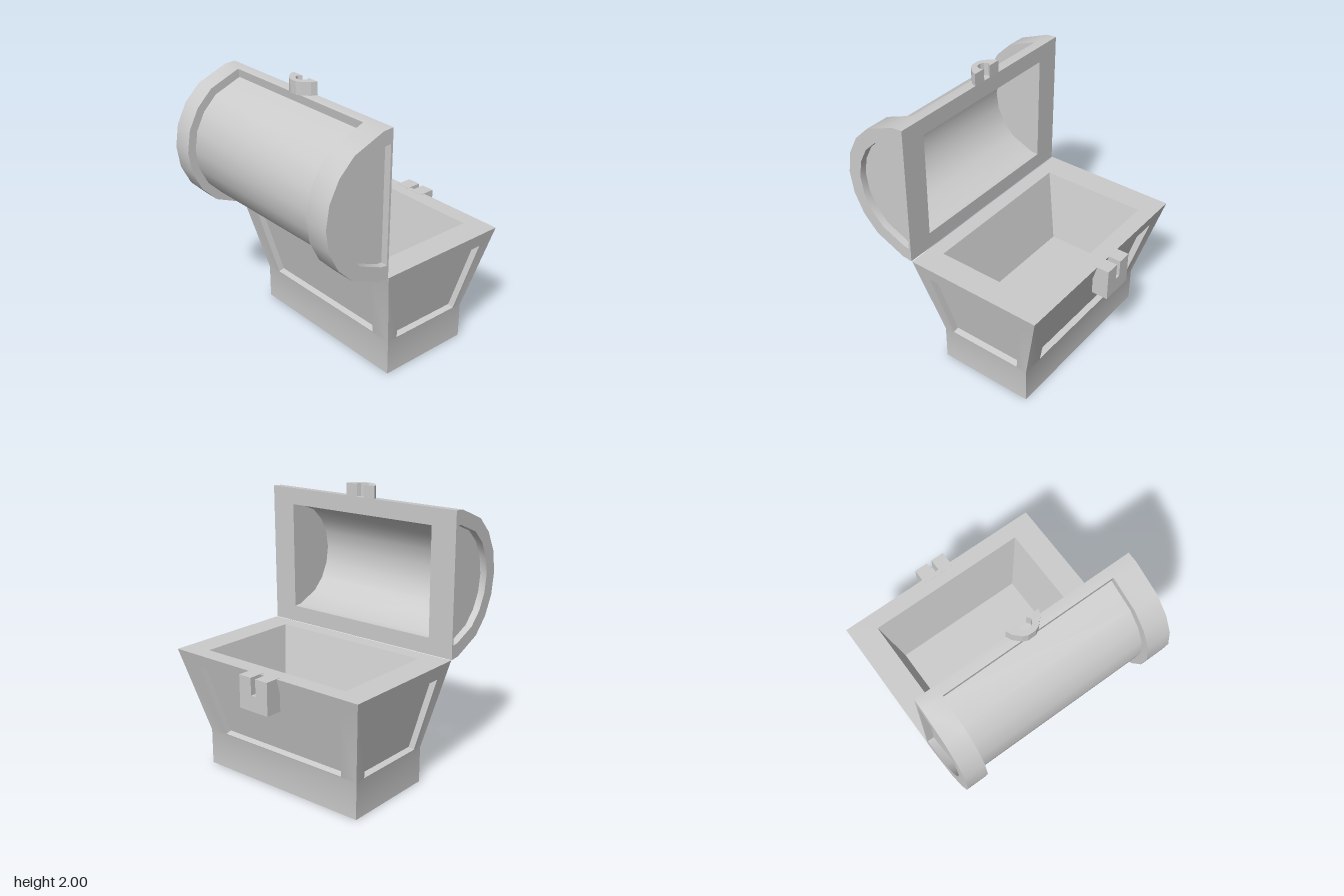
import * as THREE from 'three';
import { toCreasedNormals } from 'three/addons/utils/BufferGeometryUtils.js';

const material = new THREE.MeshStandardMaterial({ color: 0xcccccc });
const V = (x, y, z) => new THREE.Vector3(x, y, z);
const reversed = (loop) => [...loop].reverse();

// Collects surfaces made from successive loops, counter-clockwise seen from outside
class Skin {
  constructor() { this.points = []; }
  loft(loops, { closed = true, cap = false } = {}) {
    for (let k = 0; k + 1 < loops.length; k++) {
      const [p, q] = [loops[k], loops[k + 1]];
      const n = p.length;
      for (let i = 0; i < (closed ? n : n - 1); i++) {
        const j = (i + 1) % n;
        this.points.push(p[i], p[j], q[j], p[i], q[j], q[i]);
      }
    }
    if (cap) {
      const l = loops[loops.length - 1];
      for (let i = 1; i + 1 < l.length; i++) this.points.push(l[0], l[i], l[i + 1]);
    }
  }
  mesh(name) {
    const g = new THREE.BufferGeometry().setFromPoints(this.points);
    const mesh = new THREE.Mesh(toCreasedNormals(g, 0.5), material);
    mesh.name = name;
    return mesh;
  }
}

function extrude(name, outline, depth) {
  const shape = new THREE.Shape(outline.map(([x, y]) => new THREE.Vector2(x, y)));
  const g = new THREE.ExtrudeGeometry(shape, { depth, bevelEnabled: false });
  const mesh = new THREE.Mesh(g, material);
  mesh.name = name;
  return mesh;
}

// Horizontal rectangle, counter-clockwise from above
const rect = (hx, back, front, y) =>
  [V(-hx, y, front), V(hx, y, front), V(hx, y, back), V(-hx, y, back)];

const BASE = 0.26, RIM = 0.89, SHIFT = -0.015;

// Outline of the flared walls at a height
function wallRect(y) {
  const t = (y - BASE) / (RIM - BASE);
  return rect(0.665 + 0.135 * t, -0.555 - 0.165 * t, 0.155 + 0.14 * t, y);
}

function makeBody() {
  const skin = new Skin();
  const foot = rect(0.665, -0.555, 0.155, 0);
  const low = wallRect(BASE), high = wallRect(RIM);
  // Plinth and underside
  skin.loft([foot, low]);
  skin.loft([reversed(foot)], { cap: true });
  // Rim and tapering cavity
  skin.loft([high, rect(0.61, -0.6, 0.185, RIM), rect(0.505, -0.48, 0.06, 0.4)], { cap: true });
  // Four flared walls with recessed panels
  for (let k = 0; k < 4; k++) {
    const j = (k + 1) % 4, wide = k % 2 === 0;
    const edge = (y, inset) => {
      const r = wallRect(y), dir = r[j].clone().sub(r[k]).normalize();
      const ends = [r[k].clone().addScaledVector(dir, inset), r[j].clone().addScaledVector(dir, -inset)];
      if (wide) ends.forEach((p) => { p.x += SHIFT; });
      return ends;
    };
    const wall = [low[k], low[j], high[j], high[k]];
    const panel = [...edge(0.27, wide ? 0.14 : 0.08), ...reversed(edge(0.785, wide ? 0.16 : 0.105))];
    const inward = wall[3].clone().sub(wall[0]).cross(wall[1].clone().sub(wall[0])).setLength(0.045);
    skin.loft([wall, panel, panel.map((p) => p.clone().add(inward))], { cap: true });
  }
  return skin.mesh('chestBody');
}

const ANGLES = [-90, -81.5, -54, -36, -18, 0, 18, 36, 54, 81.5, 90];
// Half-round lid section, bottom to top
const arc = (r, x, dz = 0) => ANGLES.map((deg) => {
  const a = THREE.MathUtils.degToRad(deg);
  return V(x, r * Math.sin(a), Math.max(r * Math.cos(a), dz));
});

function makeLid() {
  const skin = new Skin();
  const R = 0.51, r = 0.45, xr = 0.635 + SHIFT, xl = -0.635 + SHIFT;
  const open = { closed: false };
  const middle = (rad, x) => arc(rad, x).slice(1, -1);
  // Raised end bands, and narrow strips along both long edges
  skin.loft([arc(R, 0.8), arc(R, xr)], open);
  skin.loft([arc(R, xl), arc(R, -0.8)], open);
  skin.loft([arc(R, xr).slice(0, 2), arc(R, xl).slice(0, 2)], open);
  skin.loft([arc(R, xr).slice(-2), arc(R, xl).slice(-2)], open);
  // Sunken barrel between the bands
  const border = (rad) => [...middle(rad, xr), ...reversed(middle(rad, xl))];
  skin.loft([border(R), border(r)]);
  skin.loft([middle(r, xr), middle(r, xl)], open);
  // Recessed half-round ends
  for (const s of [1, -1]) {
    const loops = [arc(R, 0.8 * s), arc(0.41, 0.8 * s, 0.015), arc(0.41, 0.75 * s, 0.015)];
    skin.loft(s > 0 ? loops.map(reversed) : loops, { cap: true });
  }
  // Flat face with its opening
  const face = (x, y) => [V(x, -y, 0), V(-x, -y, 0), V(-x, y, 0), V(x, y, 0)];
  skin.loft([face(0.8, R), face(0.61, 0.39)]);
  // Vaulted cavity
  skin.loft([arc(0.39, -0.61), arc(0.39, 0.61)], open);
  skin.loft([arc(0.39, 0.61)], { cap: true });
  skin.loft([reversed(arc(0.39, -0.61))], { cap: true });

  const lid = skin.mesh('openLid');
  lid.position.set(0, 1.4, 0.295);
  lid.rotation.x = -0.013;
  return lid;
}

export function createModel() {
  const chest = new THREE.Group();
  chest.name = 'chest';
  chest.add(makeBody(), makeLid());

  // Upper lock half with the round part of the keyhole
  const half = [[0.03, 0], [0.048, 0.025], [0.035, 0.052], [0.012, 0.065]];
  const outer = [[0.1225, 0], [0.105, 0.04], [0.06, 0.085], [0.028, 0.1]];
  const mirror = (pts) => pts.map(([x, y]) => [-x, y]);
  const lidLock = extrude('lidLock',
    [...outer, ...reversed(mirror(outer)), ...mirror(half), ...reversed(half)], 0.09);
  lidLock.rotation.x = Math.PI / 2;
  lidLock.position.set(-0.0175, 2, 0.285);

  // Lower lock half with the keyhole slot
  const bodyLock = extrude('bodyLock', [[-0.1225, 0], [0.1225, 0], [0.1225, 0.232], [0.02, 0.232],
    [0.02, 0.11], [-0.02, 0.11], [-0.02, 0.232], [-0.1225, 0.232]], 0.12);
  bodyLock.position.set(-0.0175, 0.66, -0.81);

  chest.add(lidLock, bodyLock);
  return chest;
}
